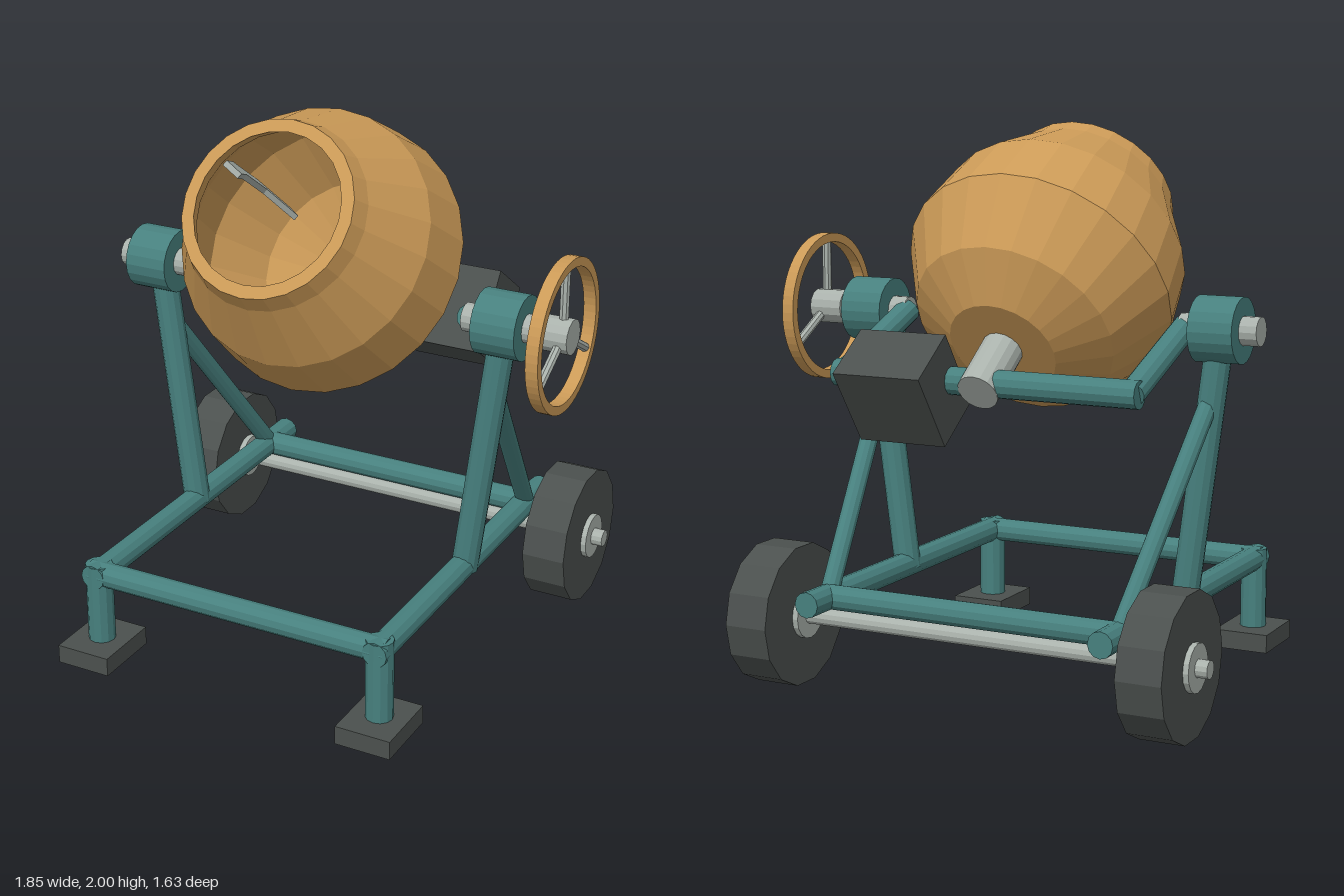
import * as THREE from 'three';

const mat = (color) => new THREE.MeshStandardMaterial({ color, flatShading: true });
const teal = mat(0x47807e), ochre = mat(0xcb9a57), dark = mat(0x4b504e), grey = mat(0xaab2ac);
const CX = -0.03;      // middle of the frame
const PIVOT_Y = 1.305; // height of the tilting shaft
const HALF = 0.57;     // half spacing of the side rails

export function createModel() {
  const model = new THREE.Group();
  model.name = 'cementMixer';

  function add(name, geometry, material, parent = model) {
    const mesh = new THREE.Mesh(geometry, material);
    mesh.name = name;
    parent.add(mesh);
    return mesh;
  }

  // Round bar between two points
  function bar(name, a, b, r, material, parent = model, sides = 12) {
    const p = new THREE.Vector3(...a), q = new THREE.Vector3(...b);
    const dir = q.clone().sub(p);
    const mesh = add(name, new THREE.CylinderGeometry(r, r, dir.length(), sides), material, parent);
    mesh.position.copy(p).add(q).multiplyScalar(0.5);
    mesh.quaternion.setFromUnitVectors(new THREE.Vector3(0, 1, 0), dir.normalize());
    return mesh;
  }

  // Cylinder along x
  function xCylinder(name, x0, x1, y, z, r, sides, material) {
    const mesh = add(name, new THREE.CylinderGeometry(r, r, Math.abs(x1 - x0), sides), material);
    mesh.rotation.z = Math.PI / 2;
    mesh.position.set((x0 + x1) / 2, y, z);
    return mesh;
  }

  // Both sides of the frame
  for (const s of [-1, 1]) {
    const x = (d) => CX + s * d;
    const rail = x(HALF);
    bar('sideRail', [rail, 0.335, 0.73], [rail, 0.335, -0.71], 0.047, teal);
    bar('frontLeg', [rail, 0.05, 0.685], [rail, 0.375, 0.685], 0.05, teal);
    add('foot', new THREE.BoxGeometry(0.21, 0.07, 0.26), dark).position.set(rail, 0.035, 0.685);
    bar('upright', [rail, 0.32, 0], [x(0.69), 1.25, 0], 0.05, teal);
    bar('rearBrace', [x(0.66), 1.06, 0], [rail, 0.34, -0.56], 0.035, teal);

    // Bearing, shaft and yoke arm
    xCylinder('bearing', x(0.615), x(0.78), PIVOT_Y, 0, 0.118, 20, teal);
    xCylinder('pivotShaft', x(0.55), x(0.845), PIVOT_Y, 0, 0.052, 14, grey);
    bar('yokeArm', [x(0.56), PIVOT_Y, 0], [x(0.56), 1.13, -0.45], 0.046, teal);

    // Wheel
    xCylinder('wheel', x(0.672), x(0.837), 0.257, -0.56, 0.259, 14, dark);
    xCylinder('wheelHub', x(0.65), x(0.857), 0.257, -0.56, 0.085, 16, grey);
  }
  xCylinder('axle', CX - 0.9, CX + 0.9, 0.257, -0.56, 0.032, 12, grey);
  xCylinder('frontCrossTube', CX - 0.6, CX + 0.6, 0.335, 0.685, 0.046, 12, teal);
  xCylinder('rearCrossTube', CX - HALF, CX + HALF, 0.335, -0.565, 0.046, 12, teal);
  xCylinder('yokeCrossbar', CX - 0.59, CX + 0.59, 1.13, -0.45, 0.05, 12, teal);

  // Handwheel on the left
  const handwheel = new THREE.Group();
  handwheel.name = 'handwheel';
  handwheel.position.set(0.883, PIVOT_Y, 0);
  model.add(handwheel);
  const ringShape = new THREE.Shape().absarc(0, 0, 0.276, 0, Math.PI * 2);
  ringShape.holes.push(new THREE.Path().absarc(0, 0, 0.243, 0, Math.PI * 2, true));
  const ring = new THREE.ExtrudeGeometry(ringShape, { depth: 0.046, bevelEnabled: false, curveSegments: 28 });
  ring.translate(0, 0, -0.023).rotateY(Math.PI / 2);
  add('handwheelRim', ring, ochre, handwheel);
  for (let i = 0; i < 3; i++) {
    const a = Math.PI / 2 + (i * Math.PI * 2) / 3;
    bar('spoke', [0, 0, 0], [0, Math.sin(a) * 0.25, Math.cos(a) * 0.25], 0.017, grey, handwheel, 8);
  }
  xCylinder('handwheelHub', 0.79, 0.92, PIVOT_Y, 0, 0.064, 14, grey);

  // Tilted assembly: y runs along the drum axis, origin on the yoke crossbar
  const tilt = new THREE.Group();
  tilt.name = 'drumAssembly';
  tilt.position.set(CX, 1.13, -0.45);
  tilt.rotation.x = THREE.MathUtils.degToRad(55);
  model.add(tilt);

  // Drum wall: up the outside, over the rim, down the inside
  const profile = [
    [0, 0.175], [0.2, 0.175], [0.375, 0.28], [0.505, 0.52], [0.472, 0.76], [0.34, 1.0],
    [0.318, 1.07], [0.272, 1.07], [0.3, 0.99], [0.44, 0.75], [0.472, 0.525],
    [0.35, 0.3], [0.19, 0.21], [0, 0.21],
  ].map(([r, y]) => new THREE.Vector2(r, y));
  add('drum', new THREE.LatheGeometry(profile, 24), ochre, tilt);

  const hub = add('drumHub', new THREE.CylinderGeometry(0.075, 0.075, 0.25, 16), grey, tilt);
  hub.position.y = 0.075;
  add('motor', new THREE.BoxGeometry(0.34, 0.232, 0.316), dark, tilt).position.set(0.295, -0.054, 0);

  // Three bent mixing blades along the inner wall
  const bladePath = [[0.34, 0.34], [0.5, 0.42], [0.72, 0.4], [0.88, 0.32]];
  for (let i = 0; i < 3; i++) {
    const blade = new THREE.Group();
    blade.name = 'mixingBlade';
    blade.rotation.y = (i * Math.PI * 2) / 3;
    tilt.add(blade);
    for (let k = 0; k < 3; k++) {
      const [y0, r0] = bladePath[k], [y1, r1] = bladePath[k + 1];
      const piece = add('bladePiece', new THREE.BoxGeometry(0.022, Math.hypot(y1 - y0, r1 - r0) + 0.02, 0.07), grey, blade);
      piece.position.set(0, (y0 + y1) / 2, (r0 + r1) / 2);
      piece.rotation.x = Math.atan2(r1 - r0, y1 - y0);
    }
  }
  return model;
}
